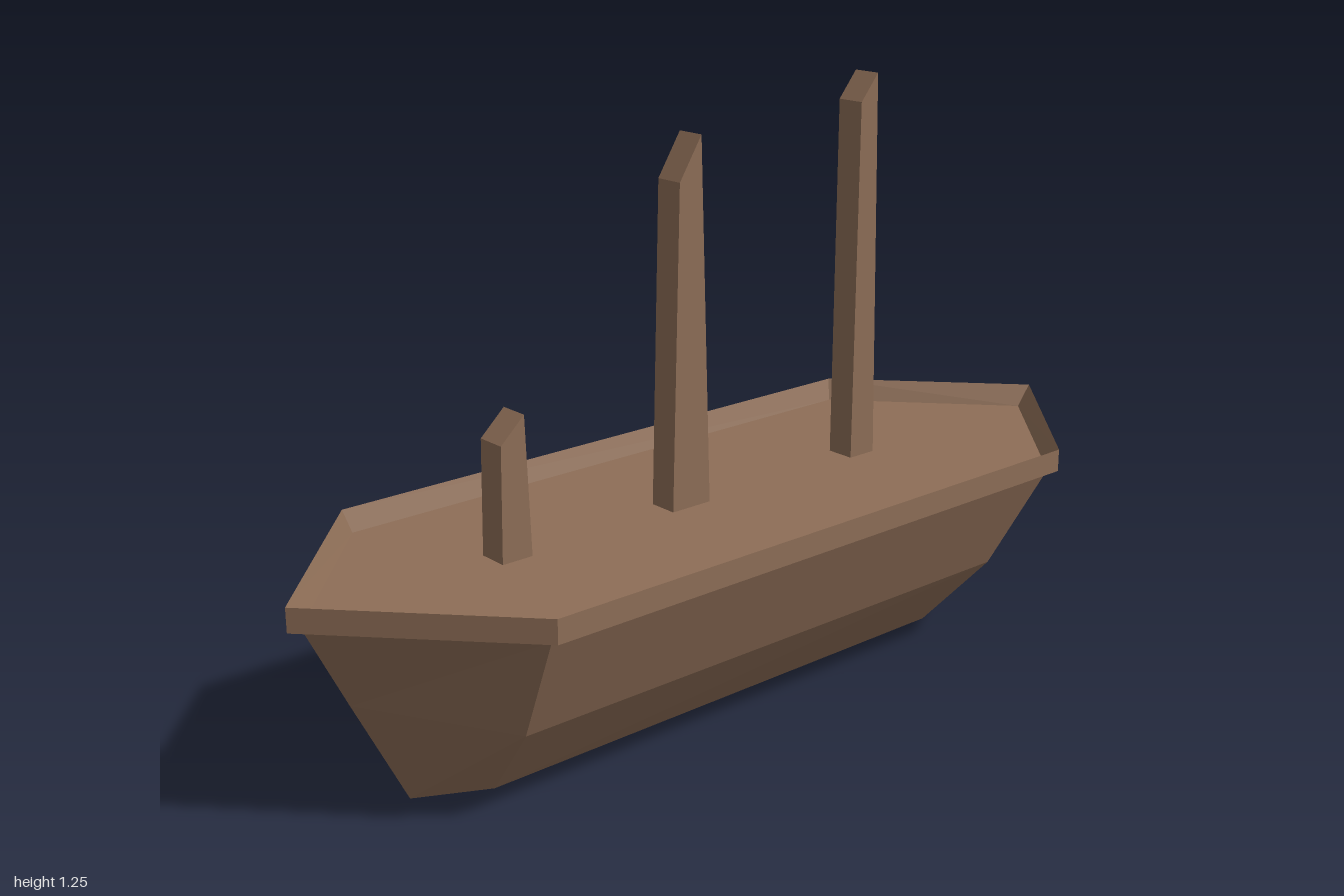
import * as THREE from 'three';

const wood = new THREE.MeshStandardMaterial({ color: 0x8e6e57, flatShading: true });
wood.name = 'brown wood';

// Flat-shaded mesh from a list of quads, each given as four corners, counter-clockwise from outside
function quadMesh(name, quads) {
  const pos = [];
  for (const [a, b, c, d] of quads) pos.push(...b, ...c, ...d, ...b, ...d, ...a);
  const geo = new THREE.BufferGeometry();
  geo.setAttribute('position', new THREE.Float32BufferAttribute(pos, 3));
  geo.computeVertexNormals();
  const mesh = new THREE.Mesh(geo, wood);
  mesh.name = name;
  return mesh;
}

// Both sides of a shape given by its left half: rows of points running bow to stern
function bothSides(name, rows) {
  const quads = [];
  const flip = ([x, y, z]) => [-x, y, z];
  for (let r = 0; r + 1 < rows.length; r++) {
    for (let i = 0; i + 1 < rows[r].length; i++) {
      const [a, b, c, d] = [rows[r][i], rows[r + 1][i], rows[r + 1][i + 1], rows[r][i + 1]];
      quads.push([a, b, c, d], [b, a, d, c].map(flip).map((p, k, q) => q[(k + 1) % 4]));
    }
  }
  return quadMesh(name, quads);
}

// Half outline of a deck-like hexagon
const halfHex = (y, w, bow, bowCorner, sternCorner, stern) =>
  [[0, y, bow], [w, y, bowCorner], [w, y, sternCorner], [0, y, stern]];

// Tapered square mast with a top slanting up to the stern
function mast(name, zBottom, zTop, yTop) {
  const x0 = -0.065, x1 = 0, y0 = 0.405;
  const side = (x) => [
    [x, y0, zBottom[0]], [x, y0, zBottom[1]], [x, yTop[1], zTop[1]], [x, yTop[0], zTop[0]],
  ];
  const a = side(x0), b = side(x1);
  const quads = [a, [...b].reverse()];
  for (let i = 0; i < 4; i++) {
    const j = (i + 1) % 4;
    quads.push([a[i], b[i], b[j], a[j]]);
  }
  return quadMesh(name, quads);
}

export function createModel() {
  const ship = new THREE.Group();
  ship.name = 'ship';

  const hullTop = halfHex(0.408, 0.335, 0.972, 0.675, -0.66, -0.963);
  const outerLow = halfHex(0.408, 0.353, 1, 0.675, -0.675, -1);
  const outerTop = halfHex(0.457, 0.353, 1, 0.675, -0.675, -1);
  const deckEdge = halfHex(0.411, 0.335, 0.972, 0.665, -0.66, -0.963);
  const keelBow = [0, 0, 0.77], keelStern = [0, 0, -0.675];

  // Hull: gunwale, two chines and the keel
  ship.add(bothSides('hull', [
    hullTop,
    [[0, 0.23, 0.885], [0.248, 0.193, 0.675], [0.248, 0.19, -0.58], keelStern],
    [keelBow, [0.143, 0.046, 0.675], [0.143, 0.046, -0.49], keelStern],
    [keelBow, keelBow, keelStern, keelStern],
  ]));

  // Rim: inner slope, outer wall and underside
  ship.add(bothSides('rim', [deckEdge, outerTop, outerLow, hullTop]));

  // Deck
  ship.add(bothSides('deck', [deckEdge.map(([, y, z]) => [0, y, z]), deckEdge]));

  // Masts: z of the stern and bow faces at bottom and top, and their heights
  ship.add(mast('frontMast', [0.47, 0.54], [0.48, 0.535], [0.698, 0.647]));
  ship.add(mast('middleMast', [0.018, 0.117], [0.038, 0.094], [1.175, 1.087]));
  ship.add(mast('rearMast', [-0.465, -0.395], [-0.452, -0.405], [1.25, 1.193]));

  return ship;
}
